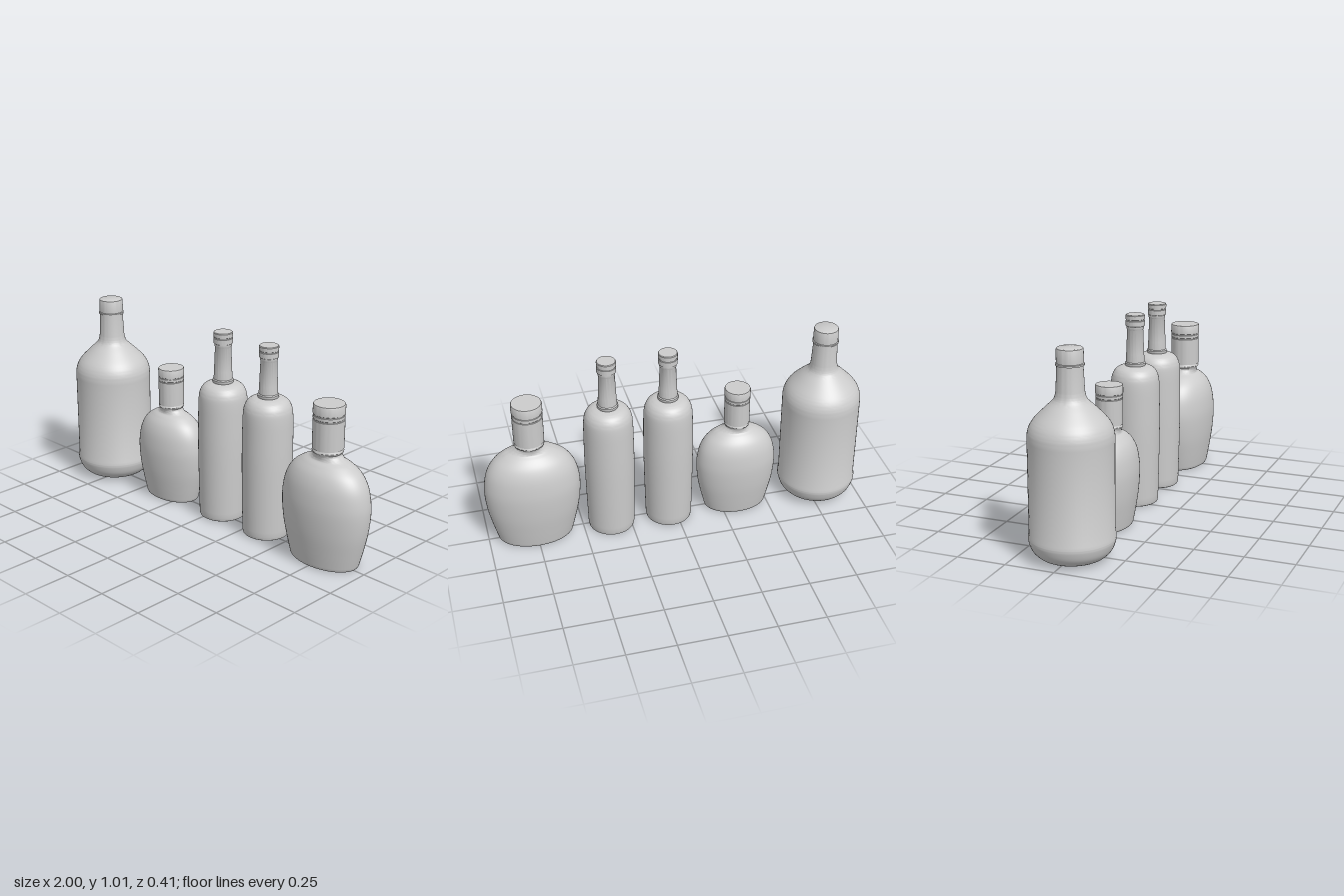
import * as THREE from 'three';
import { toCreasedNormals } from 'three/addons/utils/BufferGeometryUtils.js';

const material = new THREE.MeshStandardMaterial({ color: 0xcccccc });
const vec = (pts) => pts.map(([r, y]) => new THREE.Vector2(r, y));
const smooth = (pts, n = 40) => new THREE.SplineCurve(vec(pts)).getPoints(n);

// Turned part; depthAt(y) optionally squeezes its depth into an ellipse
function turned(name, points, depthAt) {
  const geometry = new THREE.LatheGeometry(points, 56);
  if (depthAt) {
    const p = geometry.attributes.position;
    for (let i = 0; i < p.count; i++) p.setZ(i, p.getZ(i) * depthAt(p.getY(i)));
  }
  const mesh = new THREE.Mesh(toCreasedNormals(geometry, 0.6), material);
  mesh.name = name;
  return mesh;
}

function bottle(name, x, z, ...parts) {
  const group = new THREE.Group();
  group.name = name;
  group.position.set(x, 0, z);
  group.add(...parts);
  return group;
}

function createJug() {
  // Rounded base with a small step, straight wall, sloping shoulder
  const body = turned('jugBody', [
    ...vec([[0, 0.005]]),
    ...smooth([[0.11, 0.005], [0.135, 0.01], [0.165, 0.025], [0.192, 0.055], [0.206, 0.095], [0.207, 0.115]], 20),
    ...vec([[0.203, 0.124], [0.203, 0.58]]),
    ...smooth([[0.203, 0.6], [0.199, 0.625], [0.187, 0.655], [0.165, 0.685], [0.12, 0.73], [0.085, 0.763], [0.073, 0.783], [0.067, 0.81]], 32),
    ...vec([[0.061, 0.93]]),
  ]);
  const cap = turned('jugCap', vec([
    [0.058, 0.928], [0.067, 0.93], [0.067, 0.938], [0.063, 0.941], [0.063, 1.002], [0.061, 1.008], [0.056, 1.011], [0, 1.011],
  ]));
  return bottle('jug', -0.795, 0.001, body, cap);
}

function createSlimBottle(name, x) {
  // Slightly barrelled body with a rounded shoulder
  const body = turned('slimBody', [
    ...vec([[0, 0.004], [0.112, 0.004], [0.118, 0.008], [0.12, 0.018]]),
    ...smooth([[0.121, 0.022], [0.125, 0.2], [0.128, 0.4], [0.127, 0.55], [0.125, 0.64], [0.119, 0.685], [0.103, 0.715], [0.08, 0.731], [0.053, 0.738]], 36),
    ...vec([[0, 0.738]]),
  ]);
  const neck = turned('slimNeck', vec([
    [0.05, 0.735], [0.053, 0.74], [0.053, 0.752], [0.048, 0.757], [0.046, 0.8], [0.041, 0.925],
    [0.044, 0.93], [0.044, 0.942], [0.04, 0.945],
  ]));
  const cap = turned('slimCap', vec([
    [0.04, 0.943], [0.049, 0.945], [0.049, 0.971], [0.046, 0.973], [0.046, 0.977], [0.049, 0.979],
    [0.049, 0.999], [0.046, 1.003], [0, 1.003],
  ]));
  return bottle(name, x, -0.017, body, neck, cap);
}

function createFlask(name, x, z) {
  // Oval belly that becomes round at the neck
  const depthAt = (y) => THREE.MathUtils.lerp(0.637, 1, THREE.MathUtils.smoothstep(y, 0.535, 0.575));
  const body = turned('flaskBody', [
    ...vec([[0, 0.003], [0.18, 0.003], [0.19, 0.007]]),
    ...smooth([[0.195, 0.014], [0.215, 0.09], [0.237, 0.19], [0.247, 0.29], [0.243, 0.36], [0.225, 0.43], [0.19, 0.485], [0.14, 0.523], [0.097, 0.543], [0.074, 0.56], [0.07, 0.57]], 48),
    ...vec([[0.075, 0.575], [0.077, 0.582], [0.073, 0.59], [0.07, 0.6]]),
  ], depthAt);
  // Long sleeve cap with grooves near the top
  const cap = turned('flaskCap', vec([
    [0.068, 0.592], [0.077, 0.593], [0.077, 0.737], [0.075, 0.739], [0.075, 0.743], [0.077, 0.745],
    [0.077, 0.76], [0.075, 0.762], [0.075, 0.766], [0.078, 0.768], [0.078, 0.809], [0.075, 0.815], [0, 0.815],
  ]));
  return bottle(name, x, z, body, cap);
}

export function createModel() {
  const model = new THREE.Group();
  model.name = 'bottleRow';
  const smallFlask = createFlask('smallFlask', -0.332, -0.005);
  smallFlask.scale.set(0.855, 0.892, 0.885);
  model.add(
    createJug(),
    smallFlask,
    createSlimBottle('slimBottleRight', 0.039),
    createSlimBottle('slimBottleLeft', 0.35),
    createFlask('largeFlask', 0.752, 0),
  );
  return model;
}
